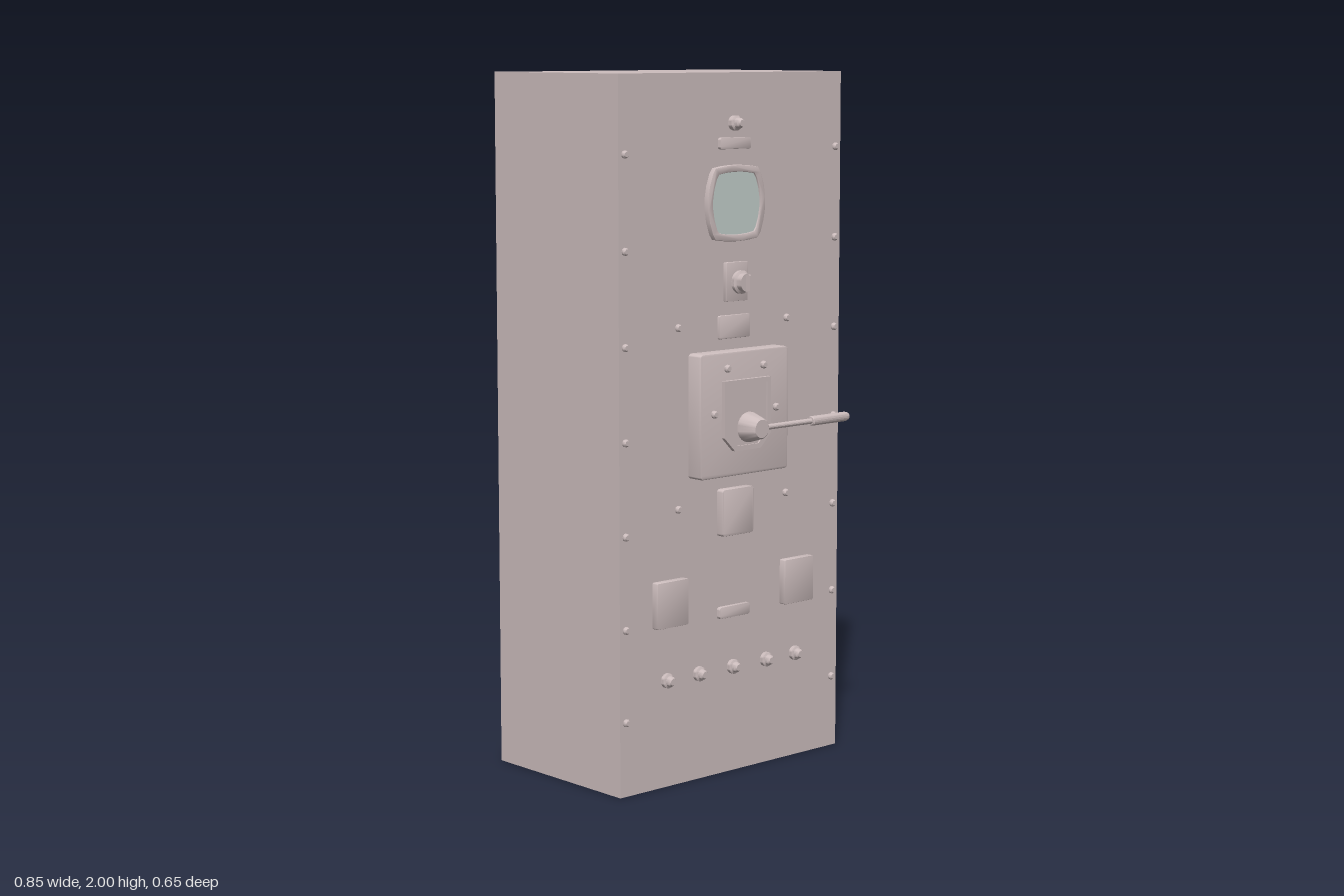
import * as THREE from 'three';
import { toCreasedNormals } from 'three/addons/utils/BufferGeometryUtils.js';

const steel = new THREE.MeshStandardMaterial({ color: 0xccbdbd });
const sheet = new THREE.MeshStandardMaterial({ color: 0xccbdbd, side: THREE.DoubleSide });
const glassMat = new THREE.MeshStandardMaterial({ color: 0xc4cfcc });

const HALF_W = 0.427, HEIGHT = 2, FRONT = 0.205, BACK = -0.325;
const BASE = FRONT - 0.001; // fittings are seated slightly into the door

export function createModel() {
  const model = new THREE.Group();

  const add = (name, geometry, x = 0, y = 0, z = 0, material = steel, parent = model) => {
    const mesh = new THREE.Mesh(geometry, material);
    mesh.name = name;
    mesh.position.set(x, y, z);
    parent.add(mesh);
    return mesh;
  };

  // Rounded rectangle outline
  const rounded = (w, h, r) => {
    const s = new THREE.Shape(), a = w / 2, b = h / 2;
    s.absarc(a - r, b - r, r, 0, Math.PI / 2);
    s.absarc(-a + r, b - r, r, Math.PI / 2, Math.PI);
    s.absarc(-a + r, -b + r, r, Math.PI, Math.PI * 1.5);
    s.absarc(a - r, -b + r, r, Math.PI * 1.5, Math.PI * 2);
    s.closePath();
    return s;
  };

  // Outline raised from z = 0 to depth, with a bevelled front edge
  const plate = (shape, depth, bevel = 0) => {
    const g = new THREE.ExtrudeGeometry(shape, {
      depth: depth - bevel, bevelEnabled: bevel > 0, bevelThickness: bevel,
      bevelSize: bevel, bevelOffset: -bevel, bevelSegments: 2, curveSegments: 5,
    });
    // flatten the rear bevel onto the seat
    const p = g.attributes.position;
    for (let i = 0; i < p.count; i++) if (p.getZ(i) < 0) p.setZ(i, 0);
    return toCreasedNormals(g, 0.6);
  };

  // Turned part around z; points are [radius, z]
  const turned = (points, segments = 24) => {
    const g = new THREE.LatheGeometry(points.map(([r, z]) => new THREE.Vector2(r, z)), segments);
    return toCreasedNormals(g.rotateX(Math.PI / 2), 0.6);
  };

  // Cabinet shell: front, sides and top; rear and underside open
  const depth = FRONT - BACK, midZ = (FRONT + BACK) / 2;
  add('frontPanel', new THREE.PlaneGeometry(2 * HALF_W, HEIGHT), 0, HEIGHT / 2, FRONT, sheet);
  for (const side of [-1, 1]) {
    const wall = add(side > 0 ? 'leftWall' : 'rightWall', new THREE.PlaneGeometry(depth, HEIGHT),
      side * HALF_W, HEIGHT / 2, midZ, sheet);
    wall.rotation.y = side * Math.PI / 2;
  }
  add('topPanel', new THREE.PlaneGeometry(2 * HALF_W, depth), 0, HEIGHT, midZ, sheet)
    .rotation.x = -Math.PI / 2;

  // Door screws
  const screw = turned([[0.011, 0], [0.011, 0.006], [0.007, 0.011], [0, 0.012]], 12);
  for (const side of [-1, 1]) {
    for (let i = 0; i < 7; i++) add('edgeScrew', screw, side * 0.405, 0.212 + i * 0.262, BASE);
    for (const y of [0.79, 1.3]) add('panelScrew', screw, side * 0.21, y, BASE);
    add('breakerScrew', screw, side * 0.07, 1.18, 0.255);
    add('breakerScrew', screw, side * 0.12, 1.055, 0.255);
  }

  // Indicator lamps
  const lamp = turned([[0.021, 0], [0.021, 0.012], [0.015, 0.015], [0.014, 0.024], [0.009, 0.03], [0, 0.031]]);
  for (const x of [-0.254, -0.132, 0, 0.132, 0.25]) add('lowerLamp', lamp, x, 0.308, BASE);
  add('upperLamp', lamp, 0, 1.86, BASE).scale.z = 1.25;

  // Label plates
  add('upperLabel', plate(rounded(0.12, 0.032, 0.007), 0.011, 0.002), 0, 1.804, BASE);
  add('middleLabel', plate(rounded(0.12, 0.066, 0.005), 0.009, 0.002), 0, 1.29, BASE);
  add('lowerLabel', plate(rounded(0.12, 0.034, 0.008), 0.013, 0.003), 0, 0.472, BASE);

  // Meter with bowed outline
  const bowed = (w, h, corner) => {
    const s = new THREE.Shape(), cx = w * 0.82, cy = h * 0.9, c = corner;
    s.moveTo(-cx + c, -cy - c * 0.4);
    s.quadraticCurveTo(0, -h * 1.08, cx - c, -cy - c * 0.4);
    s.lineTo(cx, -cy + c);
    s.quadraticCurveTo(w * 1.16, 0, cx, cy - c);
    s.lineTo(cx - c, cy + c * 0.4);
    s.quadraticCurveTo(0, h * 1.08, -cx + c, cy + c * 0.4);
    s.lineTo(-cx, cy - c);
    s.quadraticCurveTo(-w * 1.16, 0, -cx, -cy + c);
    return s;
  };
  const bezel = bowed(0.112, 0.106, 0.01);
  bezel.holes.push(bowed(0.092, 0.087, 0.008));
  add('meterBezel', plate(bezel, 0.017, 0.003), 0, 1.637, BASE);
  add('meterGlass', plate(bowed(0.093, 0.088, 0.008), 0.012), 0, 1.637, BASE, glassMat);

  // Selector switch
  const selector = new THREE.Group();
  selector.name = 'selectorSwitch';
  selector.position.set(0, 1.417, BASE);
  model.add(selector);
  add('switchPlate', plate(rounded(0.082, 0.11, 0.003), 0.014, 0.001), 0.004, 0, 0, steel, selector);
  add('switchKnob', turned([[0.02, 0.012], [0.02, 0.026], [0.033, 0.028], [0.033, 0.038],
    [0.026, 0.042], [0.026, 0.06], [0, 0.06]]), 0, 0, 0, steel, selector);
  add('switchGrip', new THREE.BoxGeometry(0.014, 0.044, 0.02), 0, 0, 0.066, steel, selector);

  // Square boxes
  add('centreBox', plate(rounded(0.122, 0.135, 0.009), 0.026, 0.004), 0, 0.763, BASE);
  for (const side of [-1, 1])
    add('sideBox', plate(rounded(0.116, 0.132, 0.004), 0.024, 0.003), side * 0.248, 0.529, BASE);

  // Breaker housing and its front plate with clipped lower corners
  add('breakerHousing', plate(rounded(0.342, 0.353, 0.012), 0.051, 0.005), 0, 1.049, BASE);
  const clipped = (w, top, bottom, cut) => new THREE.Shape([[-w, top], [-w, bottom + cut],
    [-w + cut, bottom], [w - cut, bottom], [w, bottom + cut], [w, top]]
    .map(([x, y]) => new THREE.Vector2(x, y)));
  const rim = clipped(0.09, 1.146, 0.945, 0.04);
  rim.holes.push(clipped(0.076, 1.132, 0.959, 0.034));
  add('breakerRim', plate(rim, 0.013), 0, 0, 0.2545);
  add('breakerFace', plate(clipped(0.077, 1.133, 0.958, 0.034), 0.008), 0, 0, 0.2545);

  // Rotary handle: tapered hub, rod and grip
  const handle = new THREE.Group();
  handle.name = 'rotaryHandle';
  handle.position.y = 1.01;
  model.add(handle);
  add('handleHub', turned([[0.036, 0.255], [0.036, 0.266], [0.043, 0.269], [0.043, 0.276],
    [0.03, 0.321], [0.026, 0.325], [0, 0.325]], 28), 0, 0, 0, steel, handle);
  const rod = add('handleRod', turned([[0.008, 0.01], [0.008, 0.215]], 14), 0, 0, 0.308, steel, handle);
  const grip = add('handleGrip', turned([[0, 0.21], [0.011, 0.21], [0.014, 0.214], [0.014, 0.347],
    [0.011, 0.358], [0, 0.36]], 18), 0, 0, 0.308, steel, handle);
  rod.rotation.y = grip.rotation.y = Math.PI / 2;

  return model;
}
